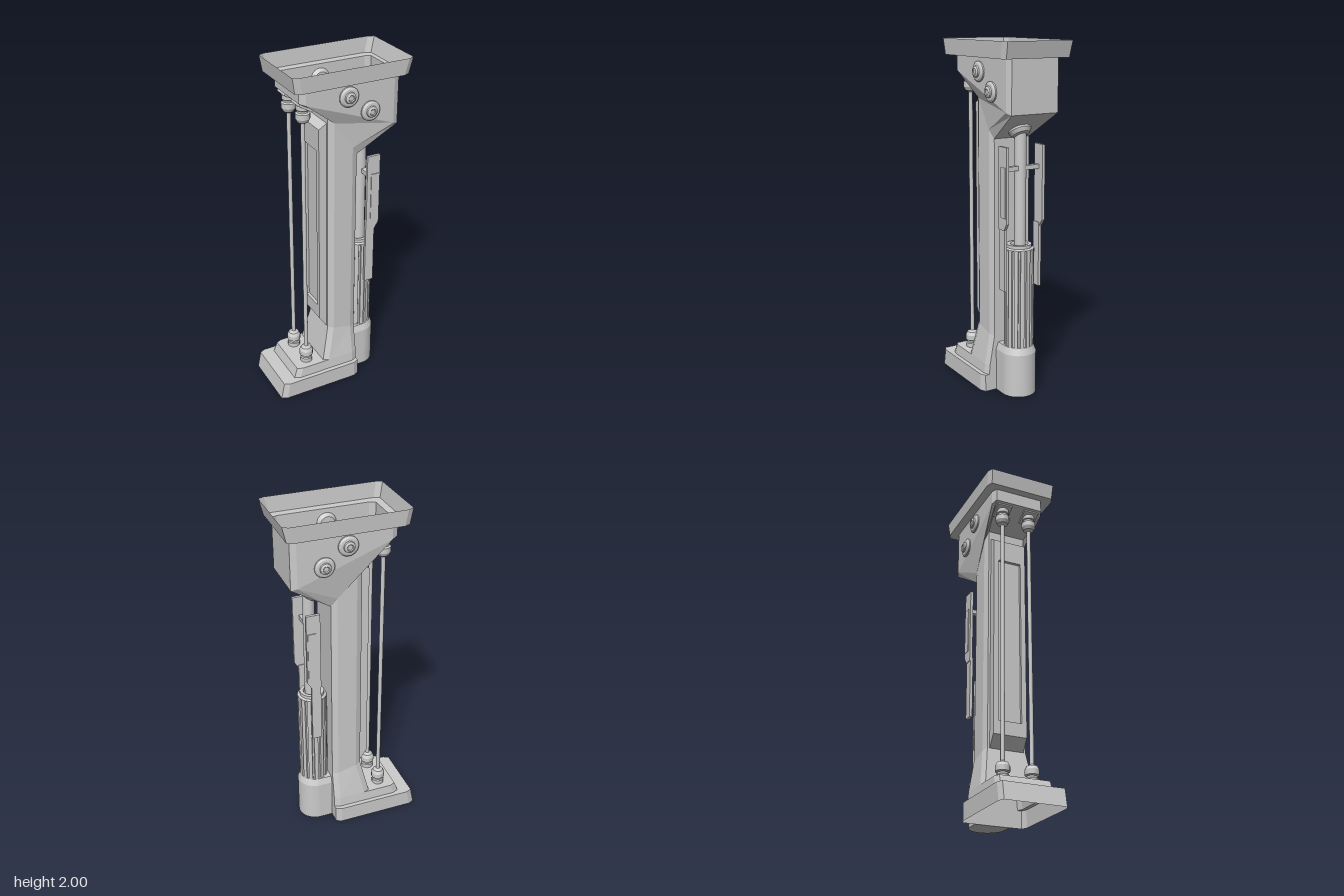
import * as THREE from 'three';

const mat = new THREE.MeshStandardMaterial({ color: 0xcccccc });
const flat = new THREE.MeshStandardMaterial({ color: 0xcccccc, flatShading: true });
const shell = new THREE.MeshStandardMaterial({ color: 0xcccccc, flatShading: true, side: THREE.DoubleSide });

function add(parent, name, geo, material = mat, x = 0, y = 0, z = 0) {
  const m = new THREE.Mesh(geo, material);
  m.name = name;
  m.position.set(x, y, z);
  parent.add(m);
  return m;
}

// Box-like ring with chamfered corners; its height may differ at the left and right ends.
function ring([l, r, z, yl, yr = yl]) {
  const cx = 0.033, zc = z - 0.015;
  const half = [[r, zc], [r - cx, z], [l + cx, z], [l, zc]];
  const all = half.concat(half.slice().reverse().map(([x, w]) => [x, -w]));
  return all.map(([x, w]) => [x, yl + (yr - yl) * (x - l) / (r - l), w]);
}

// Open shell through rings listed from top to bottom.
function loft(specs) {
  const rings = specs.map(ring), pos = [];
  for (let k = 0; k + 1 < rings.length; k++) {
    for (let i = 0; i < 8; i++) {
      const j = (i + 1) % 8;
      const a = rings[k][i], b = rings[k][j], c = rings[k + 1][j], d = rings[k + 1][i];
      pos.push(...a, ...b, ...c, ...a, ...c, ...d);
    }
  }
  const g = new THREE.BufferGeometry();
  g.setAttribute('position', new THREE.Float32BufferAttribute(pos, 3));
  g.computeVertexNormals();
  return g;
}

// Side outline in x, y extruded from z0 to z1.
function slab(points, z0, z1) {
  const s = new THREE.Shape(points.map(([x, y]) => new THREE.Vector2(x, y)));
  return new THREE.ExtrudeGeometry(s, { depth: z1 - z0, bevelEnabled: false }).translate(0, 0, z0);
}

// Lathe with sharp steps: each profile segment is its own smooth band.
function turned(parent, name, profile, segments, x, y, z) {
  const g = new THREE.Group();
  g.name = name;
  g.position.set(x, y, z);
  for (let i = 0; i + 1 < profile.length; i++) {
    const pts = [profile[i], profile[i + 1]].map(([r, h]) => new THREE.Vector2(r, h));
    add(g, name + 'Band', new THREE.LatheGeometry(pts, segments));
  }
  parent.add(g);
  return g;
}

// Plan outline in x, z raised from y0 to y1.
function upright(shape, y0, y1) {
  return new THREE.ExtrudeGeometry(shape, { depth: y1 - y0, bevelEnabled: false, curveSegments: 16 })
    .rotateX(-Math.PI / 2).translate(0, y0, 0);
}

export function createModel() {
  const model = new THREE.Group();
  model.name = 'supportLeg';

  // Hollow body: tray, head, column, foot
  add(model, 'topTray', loft([
    [-0.30, 0.40, 0.215, 2], [-0.285, 0.378, 0.21, 1.91], [-0.24, 0.35, 0.16, 1.91]]), shell);
  add(model, 'head', loft([
    [-0.24, 0.35, 0.16, 1.91], [-0.24, 0.35, 0.16, 1.835, 1.62], [-0.058, 0.12, 0.128, 1.73, 1.47]]), shell);
  add(model, 'column', loft([
    [-0.058, 0.12, 0.128, 1.73, 1.47], [-0.058, 0.12, 0.128, 0.37, 0.33], [-0.105, 0.12, 0.158, 0.16]]), shell);
  add(model, 'foot', loft([
    [-0.105, 0.12, 0.158, 0.16], [-0.28, 0.12, 0.158, 0.16], [-0.30, 0.12, 0.163, 0.1],
    [-0.38, 0.12, 0.188, 0.1], [-0.40, 0.12, 0.188, 0]]), shell);

  // Raised panel along the column with a shallow recess
  const outline = [[-0.057, 1.68], [-0.105, 1.65], [-0.105, 0.44], [-0.057, 0.37]];
  for (const s of [0, 1]) {
    add(model, 'panelRail', slab(outline, s ? 0.07 : -0.1, s ? 0.1 : -0.07), flat);
  }
  add(model, 'panelTop', slab([[-0.057, 1.68], [-0.105, 1.65], [-0.105, 1.52], [-0.057, 1.52]], -0.07, 0.07), flat);
  add(model, 'panelBottom', slab([[-0.057, 0.52], [-0.105, 0.52], [-0.105, 0.44], [-0.057, 0.37]], -0.07, 0.07), flat);
  add(model, 'panelRecess', new THREE.BoxGeometry(0.03, 1, 0.14), flat, -0.072, 1.02, 0);

  // Tie rods with collars at both ends
  const collar = [[0.0, 0], [0.036, 0], [0.036, 0.025], [0.03, 0.03], [0.03, 0.04], [0.04, 0.046],
    [0.04, 0.075], [0.03, 0.095], [0.016, 0.1], [0.012, 0.105]];
  for (const z of [-0.085, 0.085]) {
    add(model, 'tieRod', new THREE.CylinderGeometry(0.012, 0.012, 1.6, 12), mat, -0.19, 0.98, z);
    turned(model, 'lowerCollar', collar, 16, -0.19, 0.16, z);
    turned(model, 'upperCollar', collar, 16, -0.19, 1.805, z).rotation.x = Math.PI;
    add(model, 'rodMount', new THREE.BoxGeometry(0.09, 0.02, 0.09), flat, -0.19, 1.802, z).rotation.z = -0.52;
  }

  // Bolts through both sides of the head
  const bolt = [[0.0, -0.02], [0.04, -0.02], [0.056, 0], [0.056, 0.008], [0.046, 0.016],
    [0.032, 0.018], [0.03, 0.026], [0.018, 0.032], [0.014, 0.028], [0, 0.028]];
  for (const s of [-1, 1]) {
    for (const [x, y] of [[0.04, 1.83], [0.17, 1.73]]) {
      turned(model, 'headBolt', bolt, 20, x, y, s * 0.16).rotation.x = s * Math.PI / 2;
    }
  }

  // Cylinder housing: half-round, flat against the column, with a sloped shoulder
  const cx = 0.195;
  const housing = (r) => {
    const p = new THREE.Shape();
    p.moveTo(0.12, -r);
    p.lineTo(cx, -r);
    p.absarc(cx, 0, r, -Math.PI / 2, Math.PI / 2, false);
    p.lineTo(0.12, r);
    p.closePath();
    return p;
  };
  add(model, 'cylinderHousing', upright(housing(0.102), 0, 0.25));
  const shoulder = upright(housing(0.102), 0.25, 0.29);
  const v = shoulder.attributes.position;
  for (let i = 0; i < v.count; i++) {
    if (v.getY(i) > 0.27) v.setXYZ(i, 0.12 + (v.getX(i) - 0.12) * 0.92, 0.29, v.getZ(i) * 0.86);
  }
  shoulder.computeVertexNormals();
  add(model, 'housingShoulder', shoulder);

  // Fluted cylinder barrel
  const flutes = new THREE.Shape(), count = 14;
  for (let i = 0; i < count; i++) {
    [[0, 0.084], [0.3, 0.085], [0.6, 0.084], [0.66, 0.074], [0.94, 0.074]].forEach(([t, r], k) => {
      const a = (i + t) * 2 * Math.PI / count;
      flutes[i + k ? 'lineTo' : 'moveTo'](0.2 + r * Math.cos(a), r * Math.sin(a));
    });
  }
  flutes.closePath();
  add(model, 'cylinderBarrel', upright(flutes, 0.28, 0.86), flat);
  turned(model, 'barrelCap', [[0.084, 0], [0.084, 0.006], [0.07, 0.012], [0.07, 0.03], [0.05, 0.03], [0.045, 0.015], [0.03, 0.015]],
    24, 0.2, 0.855, 0);

  // Piston rod and its tilted seat under the head
  add(model, 'pistonRod', new THREE.CylinderGeometry(0.033, 0.033, 0.67, 24), mat, 0.208, 1.195, 0);
  turned(model, 'pistonSeat', [[0.03, -0.035], [0.048, -0.03], [0.064, -0.01], [0.064, 0.012], [0.05, 0.012]],
    24, 0.2, 1.522, 0).rotation.z = 0.58;

  // Side guards, each held by a small arm
  const wide = [[0.185, 1.44], [0.185, 0.98], [0.24, 0.98], [0.265, 1.02], [0.265, 1.44]];
  const narrow = [[0.185, 1.0], [0.185, 0.63], [0.24, 0.63], [0.24, 1.0]];
  const inset = [[0.21, 1.33], [0.21, 1.05], [0.258, 1.05], [0.258, 1.33]];
  for (const s of [-1, 1]) {
    const span = (a, b) => (s > 0 ? [a, b] : [-b, -a]);
    const guard = new THREE.Group();
    guard.name = s > 0 ? 'frontGuard' : 'backGuard';
    add(guard, 'guardPlate', slab(wide, ...span(0.107, 0.124)), flat);
    add(guard, 'guardTail', slab(narrow, ...span(0.103, 0.12)), flat);
    add(guard, 'guardFace', slab(inset, ...span(0.12, 0.128)), flat);
    add(guard, 'guardArm', new THREE.BoxGeometry(0.03, 0.025, 0.09), flat, 0.215, 1.315, s * 0.065);
    model.add(guard);
  }
  return model;
}
